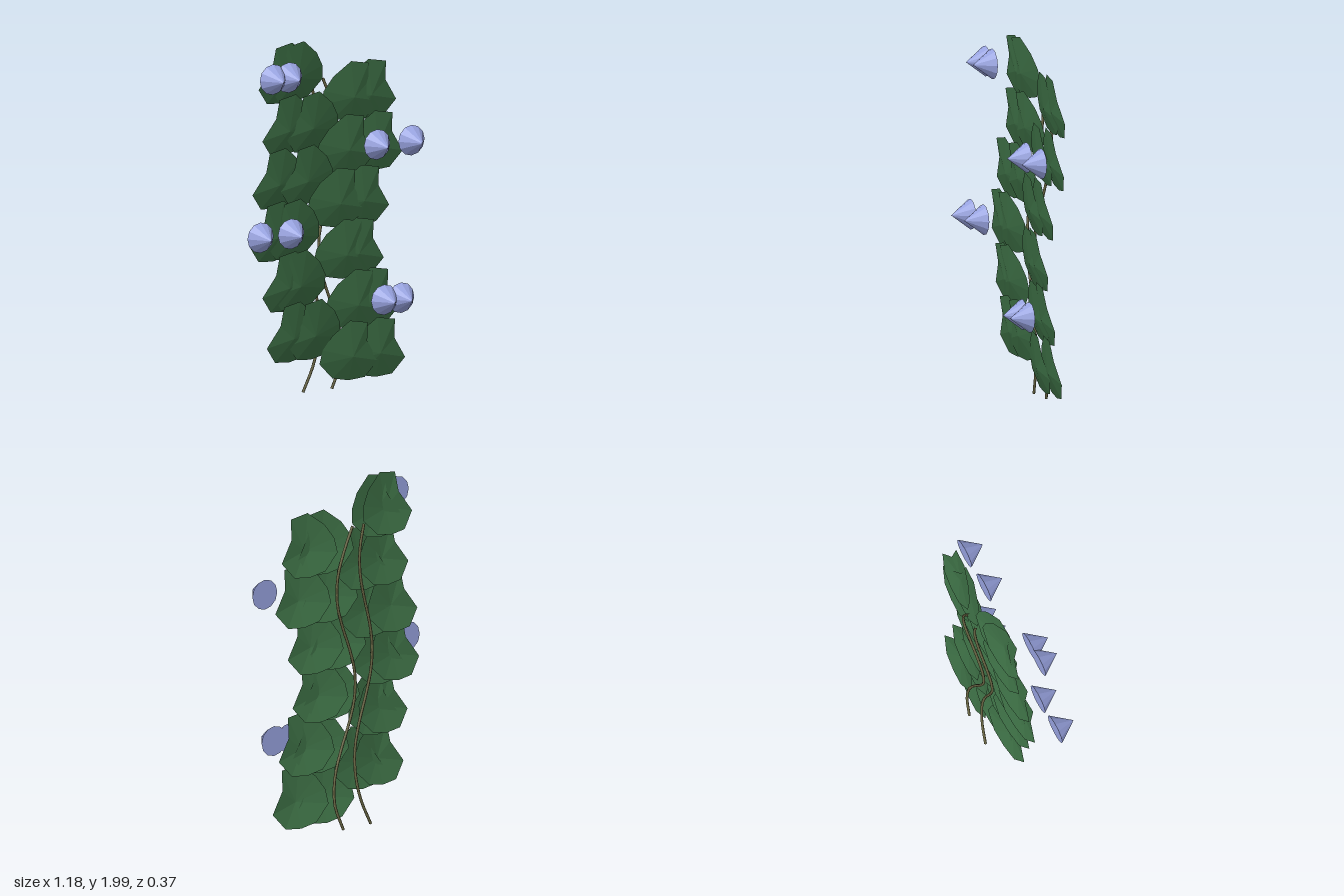
import * as THREE from 'three';

const leafMat = new THREE.MeshStandardMaterial({ color: 0x3c6e44, flatShading: true, side: THREE.DoubleSide });
const stemMat = new THREE.MeshStandardMaterial({ color: 0x6b6845 });
const flowerMat = new THREE.MeshStandardMaterial({ color: 0x98a3e0, flatShading: true });

// Centre line of each climbing stem
const wave = (y, crest, period) => Math.cos((2 * Math.PI * (y - crest)) / period);
const stemX = [
  (y) => -0.06 + 0.06 * wave(y, 0.36, 1.21),
  (y) => 0.07 + 0.08 * wave(y, 0.2, 1.21),
];
const stemZ = (y) => -0.15 + 0.03 * wave(y, 0.65, 2.3);

// Leaf rim (outward from the stem, up from the leaf's lowest point) and its raised middle
const RIM = [
  [0.18, 0.35], [0.29, 0.33], [0.30, 0.22], [0.38, 0.10], [0.31, 0.01],
  [0.21, 0], [0.11, 0.02], [0.02, 0.11], [0.03, 0.19], [0.08, 0.27],
];
const MIDDLE = [0.21, 0.14];

// Fan of facets, leaning forward at the top and at the outer side
function leafGeometry(side) {
  const point = ([x, y], lift = 0) => [side * x, y, 0.2 * y + 0.1 * x + lift];
  const pos = [];
  RIM.forEach((p, i) => {
    const q = RIM[(i + 1) % RIM.length];
    const [a, b] = side > 0 ? [q, p] : [p, q];
    pos.push(...point(MIDDLE, 0.025), ...point(a), ...point(b));
  });
  const geo = new THREE.BufferGeometry();
  geo.setAttribute('position', new THREE.Float32BufferAttribute(pos, 3));
  geo.computeVertexNormals();
  return geo;
}

export function createModel() {
  const model = new THREE.Group();
  model.name = 'climbingVine';

  // Two winding stems
  stemX.forEach((fx, s) => {
    const pts = [];
    for (let i = 0; i <= 12; i++) {
      const y = 0.005 + (1.75 * i) / 12;
      pts.push(new THREE.Vector3(fx(y) - (i === 0 ? 0.015 : 0), y, stemZ(y)));
    }
    const stem = new THREE.Mesh(
      new THREE.TubeGeometry(new THREE.CatmullRomCurve3(pts), 36, 0.008, 6), stemMat);
    stem.name = s ? 'leftStem' : 'rightStem';
    model.add(stem);
  });

  // Twelve rows of leaves, alternating sides, one leaf per stem in each row
  const leaves = new THREE.Group();
  leaves.name = 'leaves';
  const leftLeaf = leafGeometry(1), rightLeaf = leafGeometry(-1);
  for (let row = 0; row < 12; row++) {
    const bottom = 0.05 + 0.145 * row;
    const node = bottom + 0.11;
    for (const fx of stemX) {
      const leaf = new THREE.Mesh(row % 2 ? rightLeaf : leftLeaf, leafMat);
      leaf.name = 'leaf';
      leaf.position.set(fx(node), bottom, stemZ(node) + 0.005);
      leaves.add(leaf);
    }
  }
  model.add(leaves);

  // Cone-shaped flowers pointing forward, in pairs: y, back z, then the two x positions
  const flowers = new THREE.Group();
  flowers.name = 'flowers';
  const cone = new THREE.ConeGeometry(0.086, 0.115, 12).rotateX(Math.PI / 2);
  for (const [y, z, ...xs] of [
    [1.825, 0.013, -0.395, -0.29],
    [1.39, 0.03, 0.275, 0.5],
    [0.955, 0.058, -0.505, -0.305],
    [0.52, 0.065, 0.3, 0.41],
  ]) {
    for (const x of xs) {
      const flower = new THREE.Mesh(cone, flowerMat);
      flower.name = 'flower';
      flower.position.set(x, y, z + 0.0575);
      flowers.add(flower);
    }
  }
  model.add(flowers);
  return model;
}
